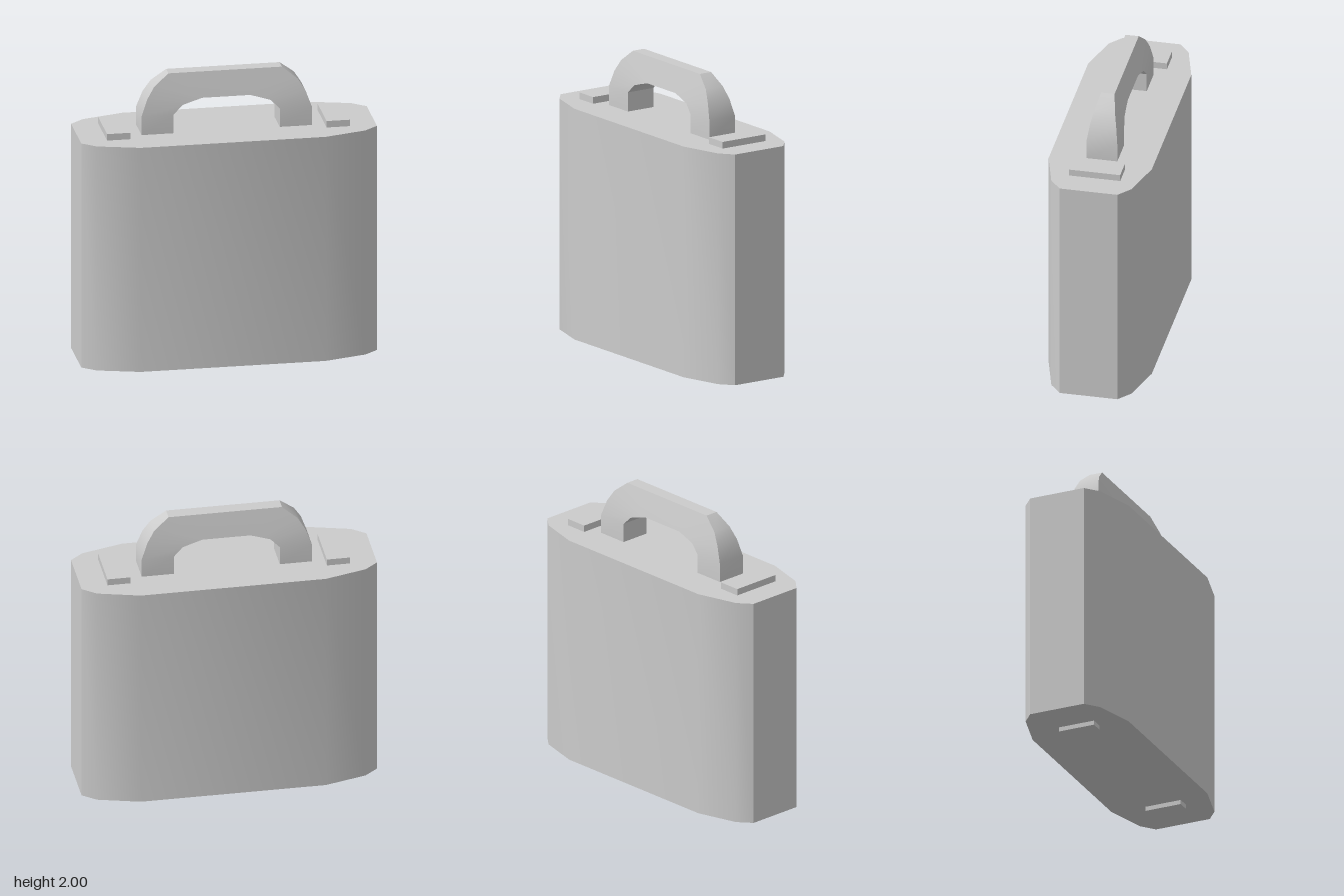
import * as THREE from 'three';
import { toCreasedNormals } from 'three/addons/utils/BufferGeometryUtils.js';

const CREASE = 0.6;
const material = new THREE.MeshStandardMaterial({ color: 0xcccccc });

function addMesh(group, name, geometry, x = 0, y = 0, z = 0) {
  const mesh = new THREE.Mesh(geometry, material);
  mesh.name = name;
  mesh.position.set(x, y, z);
  group.add(mesh);
}

// Case body: chamfered plan outline, extruded upwards
function bodyGeometry() {
  const quarter = [[0.99, 0.195], [0.9, 0.27], [0.62, 0.348]];
  const half = [...quarter, ...quarter.map(([x, z]) => [-x, z]).reverse()];
  const outline = [...half, ...half.map(([x, z]) => [-x, -z])];
  const shape = new THREE.Shape(outline.map(([x, z]) => new THREE.Vector2(x, z)));
  const geometry = new THREE.ExtrudeGeometry(shape, { depth: 1.57, bevelEnabled: false });
  geometry.rotateX(-Math.PI / 2);
  return toCreasedNormals(geometry, CREASE);
}

// Handle: four-cornered sections swept over the arch, thinner towards the top
function handleGeometry() {
  // outer x, y, half depth, then inner x, y, half depth
  const side = [
    [0.57, 1.6, 0.104, 0.355, 1.6, 0.104],
    [0.57, 1.73, 0.104, 0.355, 1.73, 0.104],
    [0.53, 1.84, 0.088, 0.295, 1.79, 0.095],
    [0.48, 1.92, 0.069, 0.23, 1.81, 0.091],
    [0.38, 2.0, 0.045, 0.16, 1.83, 0.087],
  ];
  const mirrored = side.map(([ox, oy, od, ix, iy, id]) => [-ox, oy, od, -ix, iy, id]).reverse();
  const sections = [...side, ...mirrored].map(([ox, oy, od, ix, iy, id]) => [
    [ox, oy, od], [ox, oy, -od], [ix, iy, -id], [ix, iy, id],
  ]);
  const positions = [];
  for (let i = 0; i < sections.length - 1; i++) {
    const a = sections[i];
    const b = sections[i + 1];
    for (let j = 0; j < 4; j++) {
      const k = (j + 1) % 4;
      for (const p of [a[j], a[k], b[k], a[j], b[k], b[j]]) positions.push(...p);
    }
  }
  const geometry = new THREE.BufferGeometry();
  geometry.setAttribute('position', new THREE.Float32BufferAttribute(positions, 3));
  return toCreasedNormals(geometry, CREASE);
}

export function createModel() {
  const model = new THREE.Group();
  model.name = 'carryCase';
  addMesh(model, 'body', bodyGeometry(), 0, 0.03, 0);
  addMesh(model, 'handle', handleGeometry());

  // Flat pads beside the handle and small feet underneath
  for (const [label, s] of [['left', 1], ['right', -1]]) {
    addMesh(model, label + 'TopPad', new THREE.BoxGeometry(0.155, 0.065, 0.345), s * 0.735, 1.6125, -0.003);
    addMesh(model, label + 'Foot', new THREE.BoxGeometry(0.085, 0.05, 0.255), s * 0.682, 0.025, 0.018);
  }
  return model;
}
